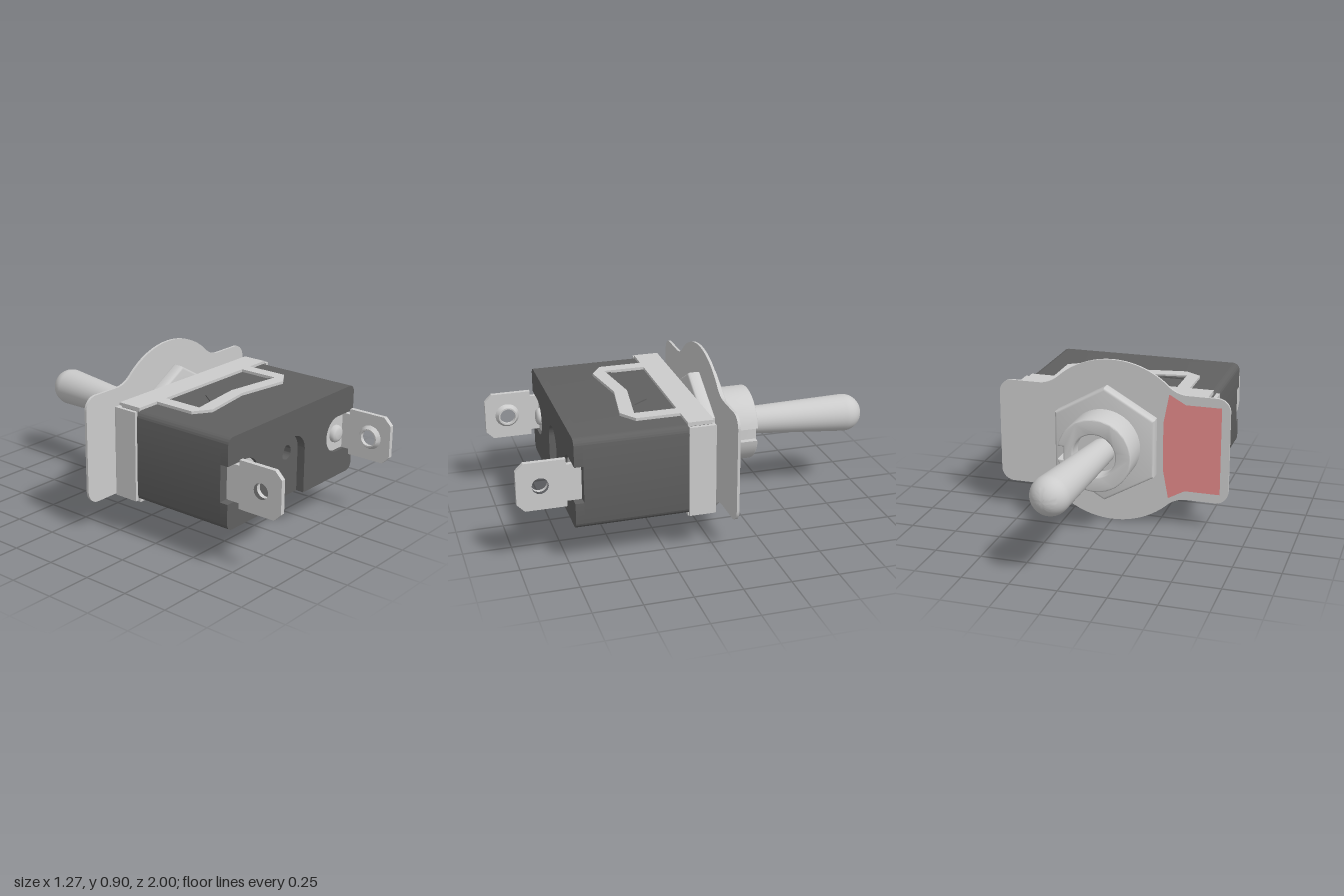
import * as THREE from 'three';
import { toCreasedNormals } from 'three/addons/utils/BufferGeometryUtils.js';

const grey = new THREE.MeshStandardMaterial({ color: 0xcccccc });
const dark = new THREE.MeshStandardMaterial({ color: 0x606060 });
const red = new THREE.MeshStandardMaterial({ color: 0xe48a8a, side: THREE.DoubleSide });
const PI = Math.PI;

const poly = (pts) => new THREE.Shape(pts.map(([x, y]) => new THREE.Vector2(x, y)));
const hole = (x, y, r) => new THREE.Path().absarc(x, y, r, 0, 2 * PI, true);

function mesh(name, geo, mat, x = 0, y = 0, z = 0) {
  const m = new THREE.Mesh(geo, mat);
  m.name = name;
  m.position.set(x, y, z);
  return m;
}

// Extrudes a shape along z from z0 to z1; the bevel stays inside the outline
function slab(name, shape, z0, z1, mat, bevel = 0) {
  const geo = new THREE.ExtrudeGeometry(shape, {
    depth: z1 - z0 - 2 * bevel, curveSegments: 24, bevelEnabled: bevel > 0,
    bevelThickness: bevel, bevelSize: bevel, bevelOffset: -bevel, bevelSegments: 3,
  });
  return mesh(name, toCreasedNormals(geo, 0.55), mat, 0, 0, z0 + bevel);
}

function box(name, w, h, d, mat, x, y, z) {
  return mesh(name, new THREE.BoxGeometry(w, h, d), mat, x, y, z);
}

// Rounded rectangle, optionally with the terminal notches and the bottom slot
function bodyShape(notched) {
  const w = 0.535, h = 0.24, r = 0.04, n = 0.0975, c = 0.39;
  const s = new THREE.Shape();
  s.moveTo(-w + r, -h);
  if (notched) {
    s.lineTo(-n, -h);
    s.lineTo(-n, 0);
    s.absarc(0, 0, n, PI, 0, true);
    s.lineTo(n, -h);
  }
  s.lineTo(w - r, -h);
  s.absarc(w - r, -h + r, r, -PI / 2, 0);
  if (notched) {
    s.lineTo(w, -n);
    s.lineTo(c, -n);
    s.absarc(c, 0, n, -PI / 2, PI / 2, true);
    s.lineTo(w, n);
  }
  s.lineTo(w, h - r);
  s.absarc(w - r, h - r, r, 0, PI / 2);
  s.lineTo(-w + r, h);
  s.absarc(-w + r, h - r, r, PI / 2, PI);
  if (notched) {
    s.lineTo(-w, n);
    s.lineTo(-c, n);
    s.absarc(-c, 0, n, PI / 2, -PI / 2, true);
    s.lineTo(-w, -n);
  }
  s.lineTo(-w, -h + r);
  s.absarc(-w + r, -h + r, r, PI, 1.5 * PI);
  return s;
}

// Round disc with two ears, blended by concave fillets
function plateShape() {
  const w = 0.635, h = 0.29, r = 0.07, f = 0.155, c = 0.41, R = 0.45;
  const a = Math.atan2(h + f, c);
  const s = new THREE.Shape();
  s.moveTo(w, -h + r);
  s.lineTo(w, h - r);
  s.absarc(w - r, h - r, r, 0, PI / 2);
  s.absarc(c, h + f, f, -PI / 2, -PI + a, true);
  s.absarc(0, 0, R, a, PI - a);
  s.absarc(-c, h + f, f, -a, -PI / 2, true);
  s.absarc(-w + r, h - r, r, PI / 2, PI);
  s.absarc(-w + r, -h + r, r, PI, 1.5 * PI);
  s.absarc(-c, -h - f, f, PI / 2, a, true);
  s.absarc(0, 0, R, PI + a, 2 * PI - a);
  s.absarc(c, -h - f, f, PI - a, PI / 2, true);
  s.absarc(w - r, -h + r, r, -PI / 2, 0);
  return s;
}

// Terminal on the -x side: riveted foot, neck, and drilled blade
function terminal() {
  const g = new THREE.Group();
  g.name = 'terminal';
  const foot = new THREE.Shape();
  foot.moveTo(-0.485, -0.095);
  foot.lineTo(-0.39, -0.095);
  foot.absarc(-0.39, 0, 0.095, -PI / 2, PI / 2);
  foot.lineTo(-0.485, 0.095);
  g.add(slab('terminalFoot', foot, 0.675, 0.705, grey));

  // Blade drawn as (-z, y), then turned to stand along z
  const blade = poly([[-0.68, 0.0975], [-0.68, -0.0975], [-0.75, -0.0975], [-0.75, -0.127],
    [-0.96, -0.127], [-1, -0.087], [-1, 0.087], [-0.96, 0.127], [-0.75, 0.127], [-0.75, 0.0975]]);
  blade.holes.push(hole(-0.88, 0, 0.042));
  const b = slab('terminalBlade', blade, 0, 0.025, grey);
  b.rotation.y = PI / 2;
  b.position.x = -0.485;
  g.add(b);

  // Raised collar around the blade hole
  const collar = mesh('holeCollar', toCreasedNormals(new THREE.LatheGeometry(
    [[0.065, 0], [0.05, 0.022], [0.042, 0.022], [0.042, 0]].map(([r, y]) => new THREE.Vector2(r, y)), 32), 0.5),
    grey, -0.46, 0, 0.88);
  collar.rotation.z = -PI / 2;
  g.add(collar);

  const rivet = mesh('rivet', new THREE.LatheGeometry(
    [[0.047, 0], [0.047, 0.015], [0.04, 0.026], [0.025, 0.032], [0, 0.033]]
      .map(([r, y]) => new THREE.Vector2(r, y)), 32), grey, -0.39, 0, 0.703);
  rivet.rotation.x = PI / 2;
  g.add(rivet);
  return g;
}

// One long side of the bracket: flange, looped strap and the lug it catches
function bracketSide() {
  const g = new THREE.Group();
  g.name = 'bracketSide';
  g.add(box('flange', 1.03, 0.03, 0.135, grey, 0, 0.24, 0.0725));
  const flat = (name, pts, top, mat) => {
    const m = slab(name, poly(pts), 0, 0.03, mat);
    m.rotation.x = PI / 2;
    m.position.y = top;
    g.add(m);
  };
  flat('strap', [[-0.385, 0.13], [-0.385, 0.37], [-0.295, 0.43], [0, 0.385], [0.295, 0.43], [0.385, 0.37],
    [0.385, 0.13], [0.315, 0.13], [0.315, 0.36], [0, 0.315], [-0.315, 0.36], [-0.315, 0.13]], 0.255, grey);
  flat('lug', [[-0.31, 0.325], [-0.185, 0.325], [-0.125, 0.245], [0.125, 0.245], [0.185, 0.325],
    [0.31, 0.325], [0.31, 0.357], [0, 0.313], [-0.31, 0.357]], 0.247, dark);
  return g;
}

export function createModel() {
  const model = new THREE.Group();
  const sw = new THREE.Group();
  sw.name = 'toggleSwitch';
  sw.position.set(0.025, 0.455, 0);
  model.add(sw);

  // Housing with slot, notches and centre hole
  const core = bodyShape(false);
  core.holes.push(hole(0, 0, 0.038));
  sw.add(slab('housing', core, 0.012, 0.675, dark));
  sw.add(slab('housingFace', bodyShape(true), 0.675, 0.72, dark));

  // Bracket and terminals, repeated by a half turn
  sw.add(slab('bracketTop', poly([[-0.55, -0.24], [0.55, -0.24], [0.55, 0.24], [-0.55, 0.24]]), 0, 0.02, grey, 0.007));
  sw.add(box('raisedPad', 0.77, 0.4, 0.015, grey, 0, 0, -0.007));
  for (const turn of [0, PI]) {
    const half = new THREE.Group();
    half.name = 'half';
    half.rotation.z = turn;
    half.add(bracketSide(), terminal(), box('endFlange', 0.02, 0.48, 0.13, grey, -0.54, 0, 0.075));
    sw.add(half);
  }

  // Threaded bushing with a keyway on its +x side
  const ring = new THREE.Shape();
  const k = Math.asin(0.035 / 0.2);
  ring.absarc(0, 0, 0.2, k, 2 * PI - k);
  ring.lineTo(0.165, -0.035);
  ring.lineTo(0.165, 0.035);
  ring.holes.push(hole(0, 0, 0.115));
  sw.add(slab('bushing', ring, -0.35, -0.01, grey, 0.008));
  const plug = mesh('bushingCore', new THREE.CylinderGeometry(0.15, 0.15, 0.26, 48), grey, 0, 0, -0.13);
  plug.rotation.x = PI / 2;
  sw.add(plug);

  // Two hex nuts clamping the plate
  const hex = poly([0, 1, 2, 3, 4, 5].map((i) => {
    const a = PI / 2 + i * PI / 3;
    return [0.315 * Math.cos(a), 0.315 * Math.sin(a)];
  }));
  sw.add(slab('innerNut', hex, -0.085, -0.015, grey, 0.014));
  sw.add(slab('outerNut', hex, -0.175, -0.1, grey, 0.014));

  // Face plate with a coloured patch
  const plate = slab('facePlate', plateShape(), -0.102, -0.088, grey);
  plate.position.x = -0.025;
  sw.add(plate);
  const patch = poly([[-0.59, 0.24], [-0.4, 0.24], [-0.31, 0.29], [-0.28, 0.13], [-0.28, -0.13],
    [-0.31, -0.29], [-0.4, -0.24], [-0.59, -0.24]]);
  sw.add(mesh('platePatch', new THREE.ShapeGeometry(patch), red, -0.025, 0, -0.104));

  // Tapered lever with a round tip, tilted slightly toward +x
  const profile = [new THREE.Vector2(0, 0), new THREE.Vector2(0.068, 0), new THREE.Vector2(0.102, 0.655)];
  for (let i = 1; i <= 12; i++) {
    const a = i / 12 * PI / 2;
    profile.push(new THREE.Vector2(i === 12 ? 0 : 0.102 * Math.cos(a), 0.655 + 0.102 * Math.sin(a)));
  }
  const lever = mesh('lever', toCreasedNormals(new THREE.LatheGeometry(profile, 40), 0.6), grey);
  lever.quaternion.setFromUnitVectors(new THREE.Vector3(0, 1, 0), new THREE.Vector3(0.087, 0, -1).normalize());
  lever.position.set(-0.02, 0, -0.246);
  sw.add(lever);
  return model;
}
